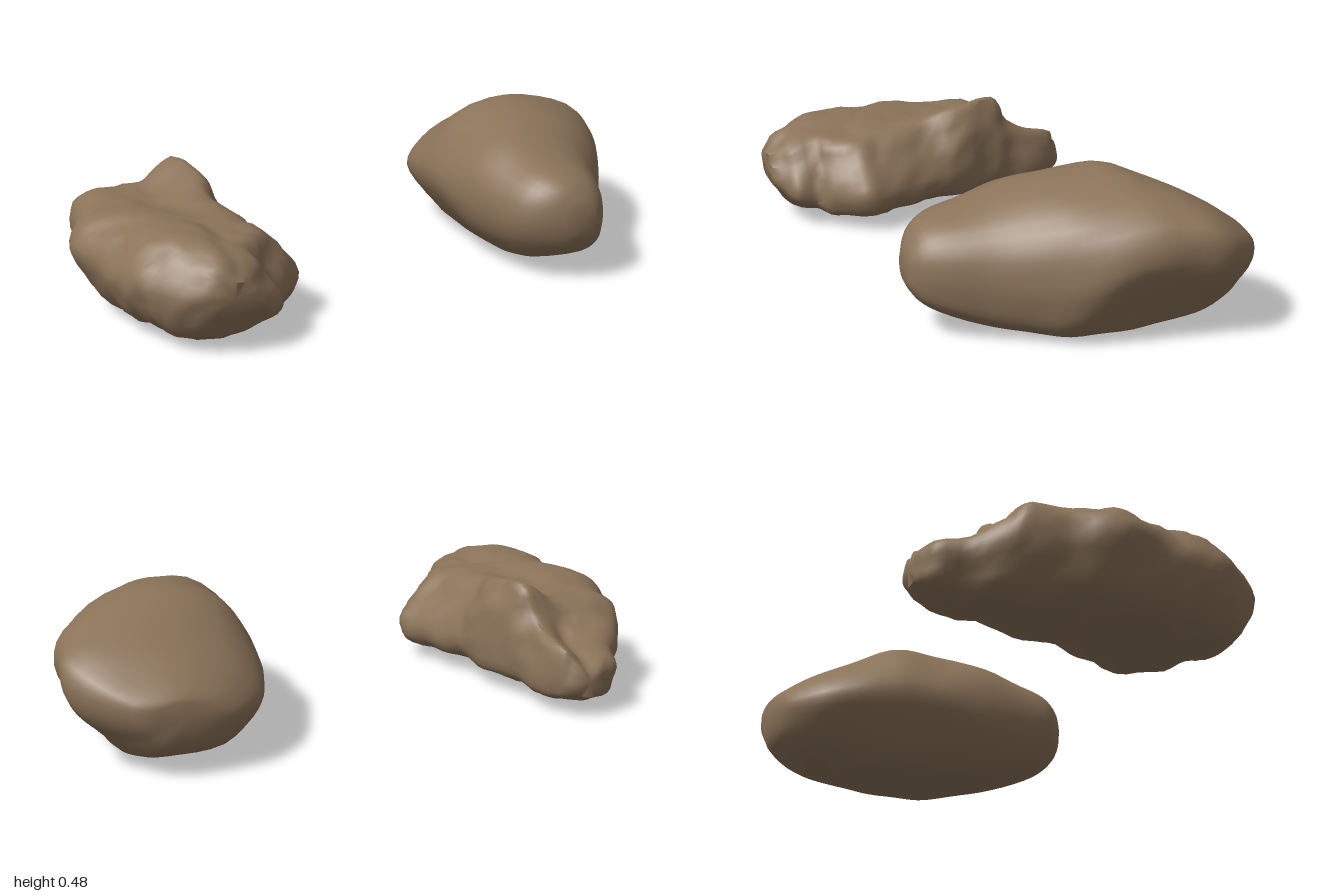
import * as THREE from 'three';
import { toCreasedNormals } from 'three/addons/utils/BufferGeometryUtils.js';

// Closed smooth outline through normalised (u, v) points, running anticlockwise
const outline = (pts) => new THREE.CatmullRomCurve3(
  pts.map(([u, v]) => new THREE.Vector3(u, v, 0)), true, 'centripetal');

// Seeded value noise in the range -1..1
const hash = (x, y, z) => {
  let h = Math.imul(x, 374761393) ^ Math.imul(y, 668265263) ^ Math.imul(z, 2146501196);
  h = Math.imul(h ^ (h >>> 13), 1274126177);
  return (((h ^ (h >>> 16)) >>> 0) / 4294967295) * 2 - 1;
};
const noise = (x, y, z) => {
  const c = [x, y, z].map(Math.floor);
  const [a, b, d] = [x - c[0], y - c[1], z - c[2]].map((t) => t * t * (3 - 2 * t));
  let sum = 0;
  for (let k = 0; k < 8; k++) {
    const i = k & 1, j = (k >> 1) & 1, l = k >> 2;
    sum += hash(c[0] + i, c[1] + j, c[2] + l) * (i ? a : 1 - a) * (j ? b : 1 - b) * (l ? d : 1 - d);
  }
  return sum;
};

// Lofts a stone along z. stations: [z, xMin, xMax, yMin, yMax];
// outlines: [curve, zStart, zEnd], each blending in over its z range
function stone({ stations, outlines, rings, sides, bumps }) {
  const curve = (a, b) => new THREE.CatmullRomCurve3(
    stations.map((s) => new THREE.Vector3(s[a], s[b], s[0])), false, 'catmullrom');
  const xs = curve(1, 2), ys = curve(3, 4);
  const pos = [], idx = [];
  for (let i = 0; i <= rings; i++) {
    const t = i / rings, X = xs.getPoint(t), Y = ys.getPoint(t), z = X.z;
    const cx = (X.x + X.y) / 2, cy = (Y.x + Y.y) / 2;
    for (let j = 0; j < sides; j++) {
      const p = new THREE.Vector3();
      for (const [shape, z0, z1] of outlines) p.lerp(shape.getPoint(j / sides), THREE.MathUtils.smoothstep(z, z0, z1));
      const x = cx + p.x * (X.y - X.x) / 2, y = cy + p.y * (Y.y - Y.x) / 2;
      // Weathered bumps, flattened where the stone rests on the ground
      const dir = new THREE.Vector3(x - cx, y - cy, z * 0.25).normalize();
      let n = 0;
      for (const [freq, amp] of bumps) n += amp * noise(x * freq + 7, y * freq + 3, z * freq + 11);
      pos.push(x + dir.x * n, Math.max(0, y + dir.y * n), z + dir.z * n);
      if (i < rings) {
        const a = i * sides + j, b = i * sides + (j + 1) % sides;
        idx.push(a, b, a + sides, b, b + sides, a + sides);
      }
    }
  }
  // Close both ends
  for (const [s, ring, flip] of [[stations[0], 0, true], [stations.at(-1), rings, false]]) {
    const pole = pos.length / 3;
    pos.push((s[1] + s[2]) / 2, (s[3] + s[4]) / 2, s[0] + (flip ? -0.005 : 0.005));
    for (let j = 0; j < sides; j++) {
      const a = ring * sides + j, b = ring * sides + (j + 1) % sides;
      idx.push(pole, flip ? b : a, flip ? a : b);
    }
  }
  const geo = new THREE.BufferGeometry();
  geo.setAttribute('position', new THREE.Float32BufferAttribute(pos, 3));
  geo.setIndex(idx);
  geo.computeVertexNormals();
  return geo;
}

export function createModel() {
  const group = new THREE.Group();
  const rock = new THREE.MeshStandardMaterial({ color: 0x8b7359 });
  rock.name = 'brown rock';

  // Smooth boulder: high rear shoulder, undercut outer side, tapered nose
  const smooth = new THREE.Mesh(stone({
    stations: [
      [-0.535, 0.62, 0.78, 0.15, 0.25], [-0.51, 0.52, 0.85, 0.09, 0.28], [-0.43, 0.42, 0.94, 0.04, 0.335],
      [-0.33, 0.37, 1.0, 0.02, 0.39], [-0.22, 0.345, 0.985, 0.005, 0.44], [-0.12, 0.33, 0.975, 0, 0.472],
      [0, 0.32, 0.94, 0, 0.455], [0.1, 0.32, 0.88, 0.003, 0.435], [0.2, 0.33, 0.8, 0.012, 0.405],
      [0.3, 0.345, 0.735, 0.035, 0.375], [0.4, 0.375, 0.68, 0.075, 0.35], [0.46, 0.43, 0.635, 0.115, 0.315],
      [0.492, 0.5, 0.59, 0.165, 0.26],
    ],
    outlines: [
      [outline([[1, 0.3], [0.95, 0.7], [0.6, 0.92], [0, 1], [-0.55, 0.78], [-0.86, 0.4], [-1, 0],
        [-0.87, -0.45], [-0.53, -0.92], [0, -1], [0.42, -0.93], [0.68, -0.5], [0.9, -0.1]]), -2, -1],
      [outline([[1, 0.12], [0.92, 0.5], [0.5, 0.84], [-0.1, 1], [-0.6, 0.82], [-0.86, 0.42], [-1, 0],
        [-0.87, -0.45], [-0.54, -0.92], [0, -1], [0.5, -0.95], [0.72, -0.55], [0.9, -0.2]]), -0.32, -0.08],
      [outline([[1, -0.1], [0.93, 0.4], [0.62, 0.8], [0.05, 1], [-0.5, 0.94], [-0.88, 0.54], [-1, 0],
        [-0.87, -0.5], [-0.5, -0.92], [0, -1], [0.6, -0.98], [0.88, -0.78], [0.98, -0.42]]), -0.1, 0.14],
    ],
    rings: 36, sides: 36, bumps: [[5, 0.006], [11, 0.003]],
  }), rock);
  smooth.name = 'smoothBoulder';
  group.add(smooth);

  // Craggy boulder with a ridge on its inner side and a low tail at the back
  const craggy = new THREE.Mesh(toCreasedNormals(stone({
    stations: [
      [-0.545, -0.71, -0.6, 0.07, 0.18], [-0.5, -0.77, -0.565, 0.045, 0.225], [-0.4, -0.81, -0.535, 0.03, 0.26],
      [-0.32, -0.88, -0.52, 0.025, 0.31], [-0.27, -0.905, -0.505, 0.02, 0.385], [-0.18, -0.93, -0.485, 0.02, 0.385],
      [-0.08, -0.98, -0.455, 0.02, 0.37], [0, -0.995, -0.45, 0.015, 0.355], [0.1, -0.97, -0.415, 0.015, 0.345],
      [0.2, -0.955, -0.385, 0.01, 0.34], [0.27, -0.945, -0.37, 0.01, 0.34], [0.36, -0.92, -0.44, 0.015, 0.335],
      [0.41, -0.89, -0.505, 0.03, 0.325], [0.48, -0.84, -0.52, 0.06, 0.29], [0.535, -0.78, -0.62, 0.13, 0.24],
    ],
    outlines: [
      [outline([[1, -0.35], [0.98, 0.15], [0.93, 0.6], [0.78, 1], [0.5, 0.88], [0.2, 0.62], [-0.2, 0.62],
        [-0.6, 0.62], [-0.86, 0.5], [-1, 0.2], [-0.9, -0.35], [-0.68, -0.82], [-0.2, -0.98], [0.2, -0.96],
        [0.6, -0.88], [0.9, -0.7]]), -2, -1],
      [outline([[1, -0.4], [0.9, 0], [0.7, 0.4], [0.52, 0.74], [0.3, 0.84], [0.05, 0.86], [-0.2, 0.97],
        [-0.55, 0.94], [-0.83, 0.65], [-1, 0.15], [-0.92, -0.35], [-0.68, -0.84], [-0.2, -0.98], [0.2, -0.97],
        [0.6, -0.88], [0.9, -0.72]]), -0.18, 0.18],
    ],
    rings: 44, sides: 44, bumps: [[7, 0.01], [14, 0.011], [26, 0.006]],
  }), 0.9), rock);
  craggy.name = 'craggyBoulder';
  group.add(craggy);

  return group;
}
